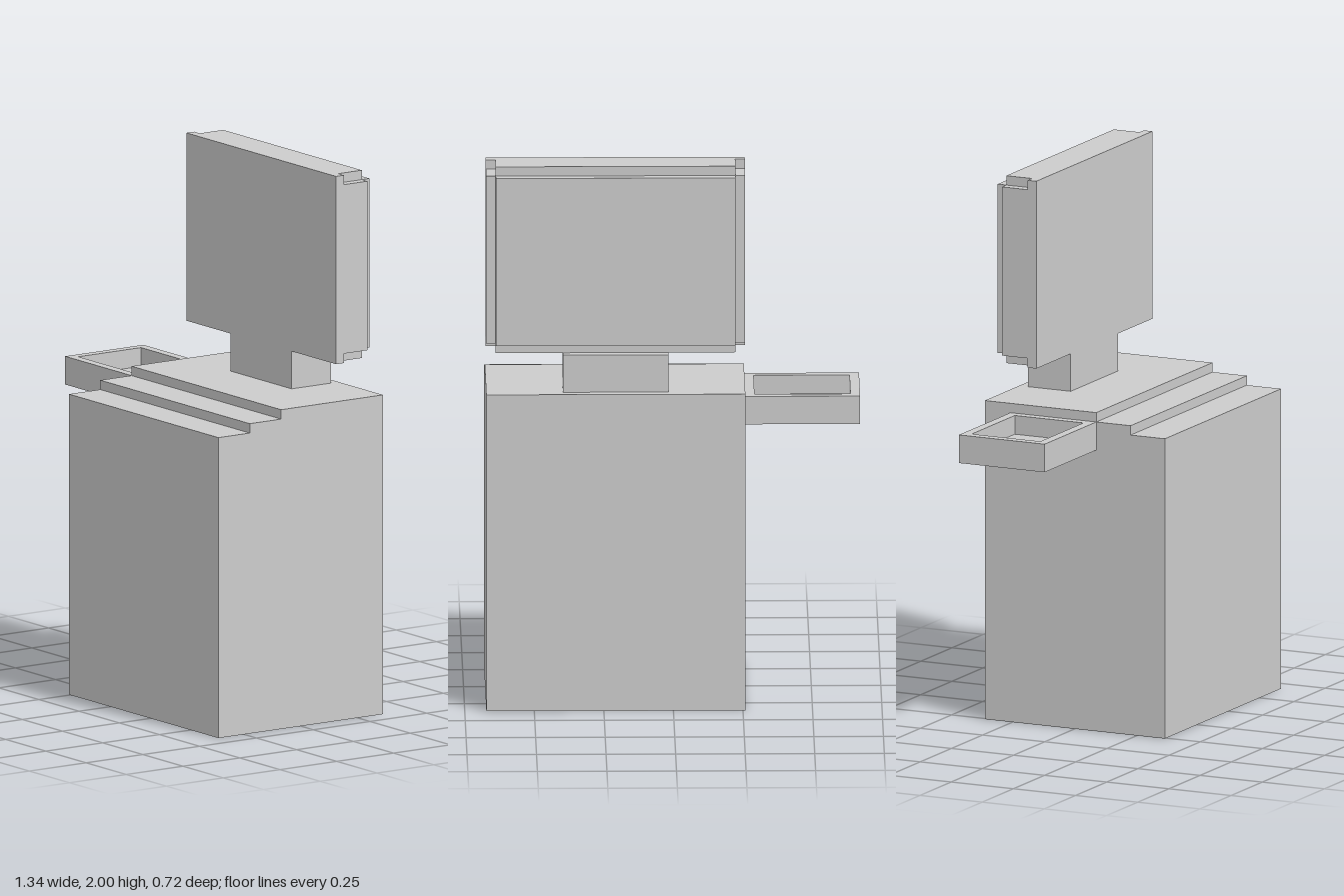
import * as THREE from 'three';

// Everything sits on a regular block grid: 58 blocks tall = 2 units.
const U = 2 / 58;

export function createModel() {
  const model = new THREE.Group();
  const material = new THREE.MeshStandardMaterial({ color: 0xcccccc, flatShading: true });

  function add(parent, name, geometry) {
    const mesh = new THREE.Mesh(geometry, material);
    mesh.name = name;
    parent.add(mesh);
    return mesh;
  }

  // Box given by its extents in blocks
  function box(parent, name, [x0, x1], [y0, y1], [z0, z1]) {
    const mesh = add(parent, name, new THREE.BoxGeometry((x1 - x0) * U, (y1 - y0) * U, (z1 - z0) * U));
    mesh.position.set((x0 + x1) / 2 * U, (y0 + y1) / 2 * U, (z0 + z1) / 2 * U);
  }

  function rectangle(PathType, x0, x1, y0, y1) {
    return new PathType([[x0, y0], [x1, y0], [x1, y1], [x0, y1]]
      .map(([x, y]) => new THREE.Vector2(x * U, y * U)));
  }

  // Cabinet: stepped side profile (z, y) extruded across the width
  const profile = [[-10.5, 0], [10.5, 0], [10.5, 32], [6.5, 32], [6.5, 33], [2.5, 33], [2.5, 34], [-10.5, 34]];
  const cabinet = new THREE.ExtrudeGeometry(
    new THREE.Shape(profile.map(([z, y]) => new THREE.Vector2(-z * U, y * U))),
    { depth: 27 * U, bevelEnabled: false });
  cabinet.rotateY(Math.PI / 2).translate(-7.5 * U, 0, 0);
  add(model, 'cabinet', cabinet);

  // Neck between cabinet and screen
  box(model, 'neck', [0.5, 11.5], [34, 38], [-9.5, -4.5]);

  // Screen: full front plate, notched corners behind it, raised back panel
  const screen = new THREE.Group();
  screen.name = 'screen';
  model.add(screen);
  box(screen, 'screenFront', [-7.5, 19.5], [38, 58], [-5.5, -4.5]);
  box(screen, 'screenBack', [-6.5, 18.5], [39, 57], [-9.5, -5.5]);
  for (const [side, x] of [['Right', -7.5], ['Left', 18.5]])
    box(screen, 'screenEdge' + side, [x, x + 1], [39, 57], [-8.5, -5.5]);
  for (const [side, y] of [['Bottom', 38], ['Top', 57]])
    box(screen, 'screenEdge' + side, [-6.5, 18.5], [y, y + 1], [-8.5, -5.5]);

  // Side tray: floor slab with an open rim
  const tray = new THREE.Group();
  tray.name = 'tray';
  model.add(tray);
  box(tray, 'trayFloor', [-19.5, -7.5], [30, 31], [-7.5, 2.5]);
  const rimShape = rectangle(THREE.Shape, -19.5, -7.5, -2.5, 7.5);
  rimShape.holes.push(rectangle(THREE.Path, -18.5, -8.5, -1.5, 6.5));
  const rim = new THREE.ExtrudeGeometry(rimShape, { depth: 2 * U, bevelEnabled: false });
  rim.rotateX(-Math.PI / 2).translate(0, 31 * U, 0);
  add(tray, 'trayRim', rim);

  return model;
}
